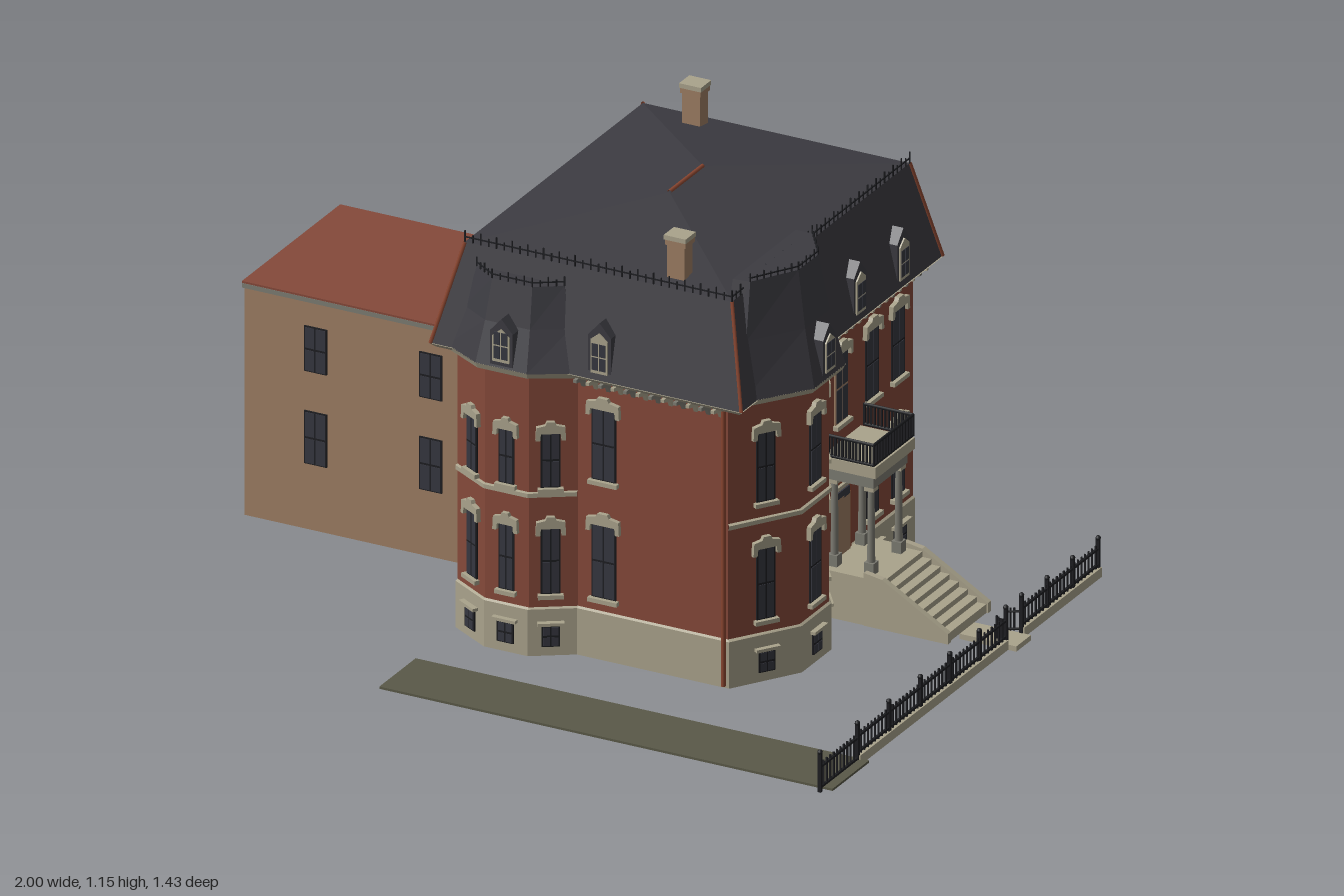
import * as THREE from 'three';
import { mergeGeometries } from 'three/addons/utils/BufferGeometryUtils.js';

const paint = (name, color) => Object.assign(new THREE.MeshStandardMaterial({ color, side: THREE.DoubleSide }), { name });

export function createModel() {
  const brick = paint('brick', 0x85493a), tan = paint('tan render', 0x9e7e63), stone = paint('stone', 0xaaa38c);
  const slate = paint('slate', 0x3c3b41), iron = paint('iron', 0x1d1e21), glass = paint('glass', 0x363740);
  const grass = paint('grass', 0x5a5948), grey = paint('grey paint', 0x7d7c73), rust = paint('rust trim', 0x8a4630);
  const root = new THREE.Group();

  function add(parent, name, geo, mat, x = 0, y = 0, z = 0) {
    const m = new THREE.Mesh(geo, mat);
    m.name = name;
    m.position.set(x, y, z);
    parent.add(m);
    return m;
  }
  const box = (parent, name, mat, w, h, d, x, y, z) => add(parent, name, new THREE.BoxGeometry(w, h, d), mat, x, y, z);
  function group(name, parent = root) {
    const g = new THREE.Group();
    g.name = name;
    parent.add(g);
    return g;
  }
  // flat-faced geometry from convex polygons
  function faces(polys) {
    const p = [];
    for (const f of polys) for (let i = 1; i < f.length - 1; i++) p.push(...f[0], ...f[i], ...f[i + 1]);
    const g = new THREE.BufferGeometry();
    g.setAttribute('position', new THREE.Float32BufferAttribute(p, 3));
    g.computeVertexNormals();
    return g;
  }
  // skin between plan outlines [x, z], each at its own height
  function loft(levels, cap = false, closed = true) {
    const rings = levels.map(([y, pts]) => pts.map(([x, z]) => [x, y, z]));
    const polys = [], n = rings[0].length;
    for (let k = 0; k + 1 < rings.length; k++)
      for (let i = 0; i < (closed ? n : n - 1); i++) {
        const j = (i + 1) % n;
        polys.push([rings[k][i], rings[k][j], rings[k + 1][j], rings[k + 1][i]]);
      }
    if (cap) polys.push(rings.at(-1), [...rings[0]].reverse());
    return faces(polys);
  }
  const rect = (x0, x1, z0, z1) => [[x0, z0], [x0, z1], [x1, z1], [x1, z0]];
  // thin bar between two points
  function bar(parent, name, mat, a, b, r) {
    return add(parent, name, new THREE.TubeGeometry(new THREE.LineCurve3(new THREE.Vector3(...a), new THREE.Vector3(...b)), 1, r, 6), mat);
  }
  function extrude(points, depth) {
    return new THREE.ExtrudeGeometry(new THREE.Shape(points.map(p => new THREE.Vector2(...p))), { depth, bevelEnabled: false });
  }

  // Main walls: brick street sides with stone base, plain rear sides
  const plan = [[-0.24, -0.64], [-0.24, 0.3], [-0.13, 0.365], [-0.01, 0.365], [0.09, 0.3], [0.5, 0.3],
    [0.61, 0.14], [0.61, -0.01], [0.5, -0.16], [0.5, -0.64]];
  const street = plan.slice(1), y0 = 0.015;
  const grow = (pts, s) => pts.map(([x, z]) => [x + (x > 0.3 ? s : x < -0.2 ? -s * 0.3 : 0), z + (z > 0.25 ? s : 0)]);
  add(root, 'brickWalls', loft([[0.14, street], [0.77, street]], false, false), brick);
  add(root, 'stoneBase', loft([[y0, grow(street, 0.006)], [0.138, grow(street, 0.006)], [0.142, street]], false, false), stone);
  add(root, 'rearWalls', loft([[y0, [plan[9], plan[0], plan[1]]], [0.77, [plan[9], plan[0], plan[1]]]], false, false), tan);
  for (const [a, b] of [[1, 5], [5, 9]]) {
    const p = plan.slice(a, b), q = grow(p, 0.007);
    add(root, 'beltCourse', loft([[0.433, p], [0.435, q], [0.446, q], [0.448, p]], false, false), stone);
  }

  // Stand an object on wall edge i at fraction t, facing outward
  function onWall(i, t, y, obj) {
    const a = plan[i], b = plan[(i + 1) % plan.length], dx = b[0] - a[0], dz = b[1] - a[1];
    obj.position.set(a[0] + dx * t, y, a[1] + dz * t);
    obj.rotation.y = Math.atan2(-dz, dx);
  }
  // Sash window with optional stone hood and sill; base at the sill
  function sash(w, h, hood = true, frame = iron) {
    const g = group('window');
    box(g, 'frame', frame, w, h, 0.004, 0, h / 2, 0.002);
    for (const s of [-1, 1])
      for (const r of [0, 1])
        box(g, 'pane', glass, w / 2 - 0.006, h / 2 - 0.006, 0.003, s * (w / 4 - 0.001), h * (0.25 + r * 0.5), 0.004);
    if (hood) {
      box(g, 'sill', stone, w + 0.014, 0.011, 0.014, 0, -0.006, 0.007);
      const k = w / 2;
      add(g, 'hood', extrude([[-k - 0.013, h - 0.018], [-k - 0.002, h - 0.018], [-k, h], [k, h], [k + 0.002, h - 0.018],
        [k + 0.013, h - 0.018], [k + 0.011, h + 0.017], [k * 0.55, h + 0.022], [k * 0.4, h + 0.031], [-k * 0.4, h + 0.031],
        [-k * 0.55, h + 0.022], [-k - 0.011, h + 0.017]], 0.012), stone);
    }
    return g;
  }
  const cellar = w => {
    const g = sash(w, 0.055, false);
    box(g, 'ledge', stone, w + 0.02, 0.008, 0.016, 0, 0.062, 0.006);
    for (const c of g.children) c.position.z += 0.006;
    return g;
  };
  for (const [i, t, w, low, high] of [[1, 0.56, 0.048, 0.175, 0.145], [2, 0.5, 0.042, 0.175, 0.145], [3, 0.44, 0.048, 0.175, 0.145],
    [4, 0.175, 0.066, 0.195, 0.19], [5, 0.52, 0.05, 0.19, 0.185], [6, 0.5, 0.056, 0.19, 0.185], [7, 0.5, 0.05, 0.19, 0.185],
    [8, 0.56, 0.062, 0.19, 0.185], [8, 0.835, 0.062, 0.19, 0.185]]) {
    onWall(i, t, 0.178, sash(w, low));
    onWall(i, t, i < 4 ? 0.46 : 0.49, sash(w, high));
    if (i !== 4) onWall(i, t, 0.04, cellar(i === 8 ? 0.06 : 0.045));
  }
  for (const y of [0.18, 0.49]) onWall(0, 0.83, y, sash(0.06, 0.185, false));

  // Cornice and brackets
  add(root, 'cornice', loft([[0.763, rect(-0.28, 0.55, -0.67, 0.335)], [0.775, rect(-0.293, 0.563, -0.683, 0.348)]], true), stone);
  const bracket = extrude([[0, 0], [0.05, 0], [0.05, -0.008], [0.018, -0.016], [0.008, -0.034], [0, -0.034]], 0.009);
  for (const [i, n] of [[4, 12], [8, 14]])
    for (let k = 0; k < n; k++) {
      const g = group('cornice bracket');
      add(g, 'bracket', bracket, k % 2 ? stone : grey, 0.005, 0, 0).rotation.y = -Math.PI / 2;
      onWall(i, (k + 0.5) / n, 0.765, g);
    }

  // Mansard and low hipped top
  const eave = rect(-0.29, 0.56, -0.68, 0.345), rim = rect(-0.23, 0.5, -0.625, 0.28);
  add(root, 'mansardRoof', loft([[0.775, eave], [1.03, rim]]), slate);
  const c = rim.map(([x, z]) => [x, 1.03, z]), rA = [0.13, 1.09, -0.26], rB = [0.13, 1.09, -0.09];
  add(root, 'hippedTop', faces([[c[0], c[1], rB, rA], [c[1], c[2], rB], [c[2], c[3], rA, rB], [c[3], c[0], rA]]), slate);
  bar(root, 'ridgeTrim', rust, rA, rB, 0.006);
  eave.forEach(([x, z], i) => bar(root, 'hipTrim', rust, [x, 0.775, z], c[i], 0.005));

  // Roofs over the two bays
  const bayLow = [[-0.25, 0.25], [-0.25, 0.335], [-0.14, 0.395], [0, 0.395], [0.11, 0.335], [0.11, 0.25]];
  const bayTop = [[-0.19, 0.24], [-0.19, 0.295], [-0.125, 0.338], [-0.015, 0.338], [0.05, 0.295], [0.05, 0.24]];
  const towerLow = [[0.46, 0.31], [0.535, 0.3], [0.65, 0.14], [0.65, -0.02], [0.535, -0.175], [0.46, -0.175]];
  const towerTop = [[0.47, 0.22], [0.515, 0.215], [0.585, 0.1], [0.585, 0], [0.515, -0.1], [0.47, -0.1]];
  const mix = (a, b, t) => a.map((p, i) => [p[0] + (b[i][0] - p[0]) * t, p[1] + (b[i][1] - p[1]) * t]);
  for (const [name, low, top, h] of [['frontBayRoof', bayLow, bayTop, 0.98], ['sideBayRoof', towerLow, towerTop, 1.06]]) {
    add(root, name, loft([[0.775, low], [0.775 + (h - 0.775) * 0.5, mix(low, top, 0.58)], [h, top]], true), slate);
    add(root, 'bayCornice', loft([[0.76, mix(low, top, 0.12)], [0.776, low]], true), stone);
  }

  // Iron cresting along open paths
  function cresting(pts, y, h) {
    const parts = [];
    for (let i = 0; i + 1 < pts.length; i++) {
      const [ax, az] = pts[i], [bx, bz] = pts[i + 1], len = Math.hypot(bx - ax, bz - az), n = Math.ceil(len / 0.022);
      for (let k = 0; k <= n; k++)
        parts.push(new THREE.BoxGeometry(0.003, k % 2 ? h * 0.7 : h, 0.003).translate(ax + (bx - ax) * k / n, y + (k % 2 ? h * 0.35 : h / 2), az + (bz - az) * k / n));
      parts.push(new THREE.BoxGeometry(len, 0.003, 0.003).rotateY(Math.atan2(az - bz, bx - ax)).translate((ax + bx) / 2, y + h * 0.45, (az + bz) / 2));
    }
    add(root, 'cresting', mergeGeometries(parts), iron);
  }
  cresting([rim[1], rim[2], rim[3]], 1.03, 0.03);
  cresting(bayTop.slice(1, 5), 0.98, 0.025);
  cresting(towerTop.slice(1, 5), 1.06, 0.022);

  // Gabled dormers
  for (const [x, z, a, h] of [[-0.07, 0.393, 0, 0.125], [0.17, 0.34, 0, 0.145], [0.648, 0.06, 1, 0.135], [0.555, -0.27, 1, 0.145], [0.555, -0.49, 1, 0.145]]) {
    const g = group('dormer');
    add(g, 'dormerBody', extrude([[-0.031, 0], [0.031, 0], [0.031, h - 0.035], [0, h], [-0.031, h - 0.035]], 0.085), slate, 0, 0, -0.085);
    add(g, 'dormerFrame', extrude([[-0.023, 0.012], [0.023, 0.012], [0.023, h - 0.045], [0, h - 0.026], [-0.023, h - 0.045]], 0.004), stone);
    for (const s of [-1, 1])
      for (const r of [0, 1]) box(g, 'dormerPane', glass, 0.017, 0.033, 0.003, s * 0.01, 0.037 + r * 0.037, 0.004);
    g.position.set(x, 0.78, z);
    g.rotation.y = a * Math.PI / 2;
  }

  // Chimneys
  for (const [x, z] of [[-0.055, -0.565], [0.325, 0.22]]) {
    box(root, 'chimney', tan, 0.048, 0.15, 0.042, x, 1.065, z);
    box(root, 'chimneyCap', stone, 0.06, 0.012, 0.052, x, 1.143, z);
    box(root, 'chimneyBand', tan, 0.056, 0.014, 0.048, x, 1.13, z);
  }

  // Rear wing
  const wing = rect(-0.995, -0.24, -0.512, -0.022);
  add(root, 'wingWalls', loft([[y0, [wing[3], wing[0], wing[1], wing[2]]], [0.625, [wing[3], wing[0], wing[1], wing[2]]]], false, false), tan);
  box(root, 'wingRoofEdge', grey, 0.76, 0.012, 0.5, -0.62, 0.625, -0.267);
  box(root, 'wingRoof', brick, 0.76, 0.005, 0.5, -0.62, 0.634, -0.267);
  for (const [y, h] of [[0.19, 0.14], [0.435, 0.12]]) {
    for (const x of [-0.8, -0.485]) sash(0.062, h, false).position.set(x, y, -0.022);
    for (const z of [-0.33, -0.13]) {
      const g = sash(0.062, h, false);
      g.position.set(-0.995, y, z);
      g.rotation.y = -Math.PI / 2;
    }
  }

  // Entrance: door, landing, stairs, portico
  const zc = -0.272;
  const door = group('doorway');
  box(door, 'doorSurround', rust, 0.006, 0.2, 0.095, 0.502, 0.24, zc);
  box(door, 'door', tan, 0.01, 0.155, 0.068, 0.504, 0.215, zc);
  box(door, 'transom', glass, 0.01, 0.022, 0.062, 0.504, 0.298, zc);
  box(door, 'doorLintel', stone, 0.014, 0.01, 0.09, 0.506, 0.322, zc);
  const french = sash(0.064, 0.185, true, tan);
  french.position.set(0.5, 0.49, zc);
  french.rotation.y = Math.PI / 2;
  box(root, 'landing', stone, 0.15, 0.125, 0.215, 0.575, 0.0775, -0.277);
  for (let i = 0; i < 8; i++) box(root, 'step', stone, 0.025, 0.125 - i * 0.0145, 0.19, 0.658 + i * 0.025, y0 + (0.125 - i * 0.0145) / 2, -0.277);
  for (const z of [-0.387, -0.183])
    add(root, 'stairCheek', extrude([[0.62, y0], [0.85, y0], [0.85, 0.042], [0.67, 0.147], [0.62, 0.155]], 0.016), stone, 0, 0, z);
  for (const z of [-0.205, -0.345]) {
    for (const x of [0.52, 0.62]) {
      box(root, 'columnBase', grey, 0.026, 0.03, 0.026, x, 0.155, z);
      add(root, 'column', new THREE.CylinderGeometry(0.008, 0.01, 0.21, 12), grey, x, 0.265, z);
      box(root, 'capital', stone, 0.026, 0.014, 0.026, x, 0.367, z);
    }
  }
  box(root, 'porticoFrieze', grey, 0.135, 0.03, 0.172, 0.568, 0.387, -0.275);
  box(root, 'balconyFloor', stone, 0.15, 0.03, 0.2, 0.573, 0.421, -0.275);
  for (const [ax, az, bx, bz] of [[0.51, -0.175, 0.643, -0.175], [0.643, -0.175, 0.643, -0.375], [0.643, -0.375, 0.51, -0.375]]) {
    for (const y of [0.442, 0.495]) bar(root, 'balconyRail', iron, [ax, y, az], [bx, y, bz], 0.004);
    for (let k = 0; k <= 14; k++) box(root, 'baluster', iron, 0.005, 0.058, 0.005, ax + (bx - ax) * k / 14, 0.468, az + (bz - az) * k / 14);
  }

  // Downpipes
  bar(root, 'downpipe', rust, [0.492, 0.02, 0.309], [0.492, 0.75, 0.309], 0.006);
  bar(root, 'downpipe', rust, [-0.247, 0.02, -0.63], [-0.247, 0.73, -0.63], 0.005);
  bar(root, 'downpipeElbow', rust, [-0.247, 0.73, -0.63], [-0.285, 0.765, -0.63], 0.005);

  // Walk, lawn strip and street fence
  box(root, 'walk', stone, 0.155, 0.014, 0.075, 0.922, 0.007, -0.275);
  box(root, 'lawn', grass, 1.24, 0.006, 0.185, 0.38, 0.014, 0.605);
  const fx = 0.972, pickets = [];
  const run = (z0, z1, step, low, high) => {
    const n = Math.round((z1 - z0) / step), mid = (z0 + z1) / 2;
    for (let k = 0; k <= n; k++) pickets.push(new THREE.BoxGeometry(0.004, high + 0.006 - low, 0.004).translate(fx, (low + high + 0.006) / 2, z0 + (z1 - z0) * k / n));
    for (const y of [low + 0.008, high - 0.006]) pickets.push(new THREE.BoxGeometry(0.006, 0.006, z1 - z0).translate(fx, y, mid));
  };
  for (const [z0, z1] of [[-0.71, -0.315], [-0.235, 0.52]]) {
    box(root, 'fenceKerb', stone, 0.016, 0.025, z1 - z0, fx, 0.0155, (z0 + z1) / 2);
    run(z0, z1, 0.018, 0.028, 0.084);
  }
  run(0.52, 0.71, 0.018, 0.012, 0.08);
  add(root, 'fencePickets', mergeGeometries(pickets), iron);
  for (const z of [-0.705, -0.575, -0.445, -0.315, -0.235, -0.1, 0.05, 0.2, 0.36, 0.52, 0.71]) {
    const h = z === 0.52 || z === 0.71 || z === -0.315 || z === -0.235 ? 0.105 : 0.098;
    box(root, 'fencePost', iron, 0.009, h, 0.009, fx, 0.008 + h / 2, z);
    add(root, 'postFinial', new THREE.SphereGeometry(0.007, 8, 6), iron, fx, h + 0.008, z);
  }
  for (const z of [-0.315, -0.235]) {
    const s = z < -0.3 ? 0.02 : -0.02;
    for (let k = 0; k < 3; k++) box(root, 'gatePicket', iron, 0.004, 0.06, 0.004, 0.955 - k * 0.008, 0.048, z + s * (k + 1) / 4);
    for (const y of [0.024, 0.07]) bar(root, 'gateRail', iron, [fx, y, z], [0.938, y, z + s], 0.003);
  }
  return root;
}
